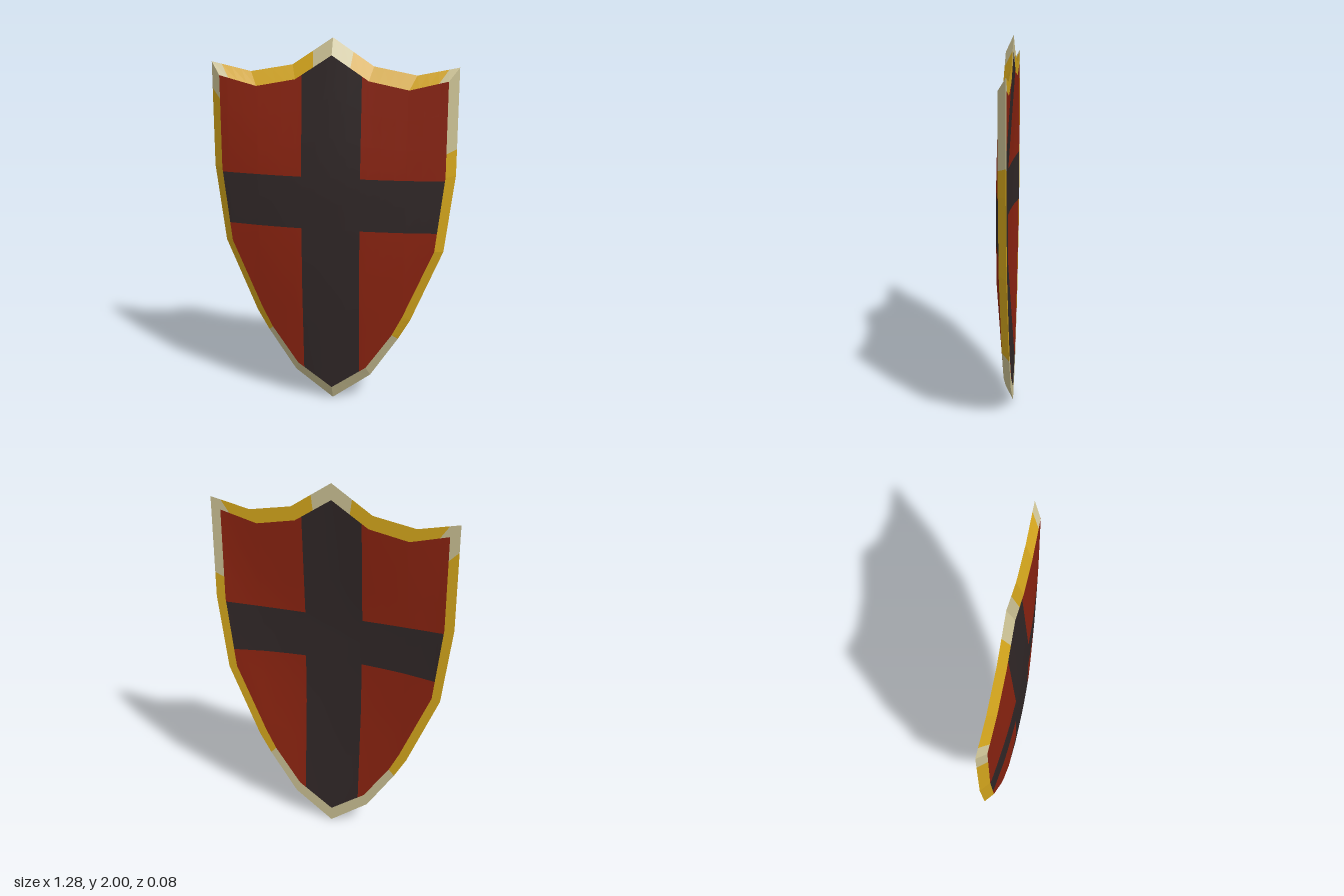
import * as THREE from 'three';

const mat = (name, color) => {
  const m = new THREE.MeshStandardMaterial({ color });
  m.name = name;
  return m;
};

// Half outlines on the +x side, from the top point round to the bottom point
const OUTER = [[0, 2], [0.21, 1.86], [0.43, 1.82], [0.64, 1.865], [0.64, 1.315],
  [0.59, 0.9], [0.425, 0.5], [0.36, 0.385], [0.21, 0.157], [0, 0]];
const INNER = [[0, 1.915], [0.19, 1.79], [0.395, 1.75], [0.59, 1.8], [0.59, 1.31],
  [0.545, 0.91], [0.385, 0.53], [0.33, 0.42], [0.19, 0.215], [0, 0.08]];
const BACK = -0.04, BULGE = 0.04, HALF = 0.59, BAR = 0.155, LOW = 1.01, HIGH = 1.29;

// Height of a half outline, given as points of rising x
function heightAt(points, x) {
  for (let i = 1; i < points.length; i++) {
    const [x0, y0] = points[i - 1], [x1, y1] = points[i];
    if (x <= x1 + 1e-6) return y0 + (y1 - y0) * (x - x0) / (x1 - x0);
  }
  return points[points.length - 1][1];
}
const TOP = INNER.slice(0, 4), BOTTOM = INNER.slice(4).reverse();

// Bulged panel in columns; the cross is made of its own faces
function panel(front) {
  const half = [0.08, BAR, 0.19, 0.26, 0.33, 0.385, 0.395, 0.47, 0.545, 0.5563, 0.5878, HALF];
  const xs = [...half.map((x) => -x).reverse(), 0, ...half];
  const rows = 9, pos = [], red = [], dark = [];
  for (const x of xs) {
    const a = Math.abs(x), top = heightAt(TOP, a), bot = heightAt(BOTTOM, a);
    const across = 1 - (x / HALF) ** 2;
    const pinch = front ? 0 : 0.014 * across;
    const lo = Math.max(LOW + pinch, bot), hi = Math.max(HIGH - pinch, bot);
    const ys = [bot, bot + (lo - bot) / 3, bot + (lo - bot) * 2 / 3, lo, (lo + hi) / 2, hi,
      hi + (top - hi) / 3, hi + (top - hi) * 2 / 3, top];
    for (const y of ys) {
      const t = (y - bot) / (top - bot);
      const z = BULGE * across * Math.max(0, Math.min(1, 3 * t, 3 * (1 - t)));
      pos.push(x, y, z + (front ? 0 : BACK));
    }
  }
  const same = (a, b) => [0, 1, 2].every((k) => Math.abs(pos[a * 3 + k] - pos[b * 3 + k]) < 1e-6);
  for (let i = 0; i < xs.length - 1; i++) {
    const upright = Math.abs(xs[i] + xs[i + 1]) / 2 < BAR;
    for (let j = 0; j < rows - 1; j++) {
      const a = i * rows + j, b = a + rows, c = b + 1, d = a + 1;
      const list = upright || j === 3 || j === 4 ? dark : red;
      for (const [p, q, r] of [[a, b, c], [a, c, d]]) {
        if (same(p, q) || same(q, r) || same(r, p)) continue;
        list.push(...(front ? [p, q, r] : [p, r, q]));
      }
    }
  }
  const g = new THREE.BufferGeometry();
  g.setAttribute('position', new THREE.Float32BufferAttribute(pos, 3));
  g.setIndex([...red, ...dark]);
  g.addGroup(0, red.length, 0);
  g.addGroup(red.length, dark.length, 1);
  g.computeVertexNormals();
  return g;
}

// Full loop, clockwise seen from the front, each segment cut in four
function loop(half) {
  const pts = [...half, ...half.slice(1, -1).reverse().map(([x, y]) => [-x, y])];
  return pts.flatMap(([x, y], i) => {
    const [u, v] = pts[(i + 1) % pts.length];
    return [0, 0.25, 0.5, 0.75].map((t) => [x + (u - x) * t, y + (v - y) * t]);
  });
}

// Worn metal at the tips and corners
function isPale(x, y) {
  return y < 0.36 || (y > 1.92 && Math.abs(x) < 0.12) || x > 0.57 && y > 1.42 ||
    (x < -0.57 && y > 1.72);
}

// Rim: sloped in front, flat behind, meeting in a sharp outer edge
function rim() {
  const out = loop(OUTER), inn = loop(INNER), n = out.length, gold = [], pale = [];
  for (let i = 0; i < n; i++) {
    const k = (i + 1) % n;
    const list = isPale((out[i][0] + out[k][0]) / 2, (out[i][1] + out[k][1]) / 2) ? pale : gold;
    const a = [...out[i], BACK], b = [...out[k], BACK];
    const c = [...inn[k], 0], d = [...inn[i], 0];
    const e = [...inn[k], BACK], f = [...inn[i], BACK];
    list.push(...a, ...c, ...b, ...a, ...d, ...c);
    list.push(...a, ...b, ...e, ...a, ...e, ...f);
  }
  const g = new THREE.BufferGeometry();
  g.setAttribute('position', new THREE.Float32BufferAttribute([...gold, ...pale], 3));
  g.addGroup(0, gold.length / 3, 0);
  g.addGroup(gold.length / 3, pale.length / 3, 1);
  g.computeVertexNormals();
  return g;
}

export function createModel() {
  const red = mat('red paint', 0x8a2310), dark = mat('dark paint', 0x302727);
  const gold = mat('gold', 0xd2a41c), pale = mat('pale gold', 0xc9bf92);
  const group = new THREE.Group();
  group.name = 'shield';
  const add = (name, geometry, materials) => {
    const mesh = new THREE.Mesh(geometry, materials);
    mesh.name = name;
    group.add(mesh);
  };
  add('frontPanel', panel(true), [red, dark]);
  add('backPanel', panel(false), [red, dark]);
  add('rim', rim(), [gold, pale]);
  return group;
}
